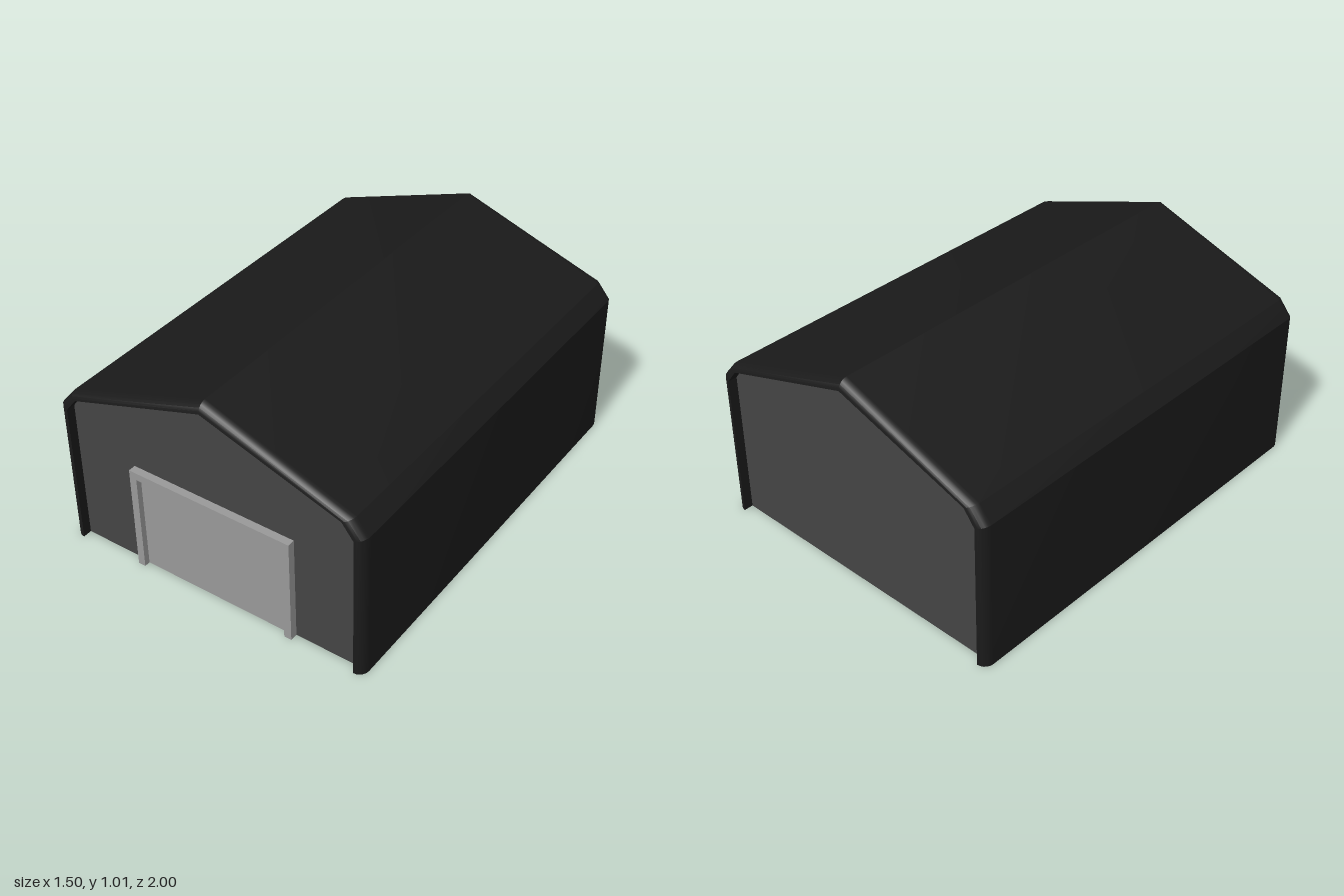
import * as THREE from 'three';
import { toCreasedNormals } from 'three/addons/utils/BufferGeometryUtils.js';

const mat = (color) => new THREE.MeshStandardMaterial({ color, side: THREE.DoubleSide });

// Half profiles of the hall, mirrored to run from +x foot over the ridge to -x foot
const mirror = (half) => [...half, ...half.slice(0, -1).reverse().map(([x, y]) => [-x, y])];
const OUTER = mirror([[0.75, 0], [0.75, 0.70], [0.69, 0.77], [0, 1.01]]);
const INNER = mirror([[0.705, 0], [0.705, 0.685], [0.652, 0.753], [0, 0.965]]);
const WALL_Z = 0.957, LIP = 0.045, DOOR_W = 0.4, DOOR_H = 0.505, FRAME = 0.035;

// Thin shell lofted along z, its ends rolled inward by a quarter round
function shellGeometry() {
  const end = [];
  for (let i = 0; i <= 5; i++) {
    const a = (i / 5) * Math.PI / 2;
    end.push([1 - LIP + LIP * Math.sin(a), 1 - Math.cos(a)]);
  }
  end.push([WALL_Z, 1]);
  const rings = [...end.map(([z, t]) => [-z, t]).reverse(), ...end];
  const n = OUTER.length, pos = [], idx = [];
  rings.forEach(([z, t]) => OUTER.forEach(([x, y], i) => {
    pos.push(x + (INNER[i][0] - x) * t, y + (INNER[i][1] - y) * t, z);
  }));
  for (let r = 0; r < rings.length - 1; r++) {
    for (let i = 0; i < n - 1; i++) {
      const a = r * n + i, b = a + n;
      idx.push(a, a + 1, b, a + 1, b + 1, b);
    }
  }
  const g = new THREE.BufferGeometry();
  g.setAttribute('position', new THREE.Float32BufferAttribute(pos, 3));
  g.setIndex(idx);
  return toCreasedNormals(g, 0.42);
}

const toShape = (pts) => new THREE.Shape(pts.map(([x, y]) => new THREE.Vector2(x, y)));

export function createModel() {
  const group = new THREE.Group();
  const add = (name, geometry, material, z = 0) => {
    const mesh = new THREE.Mesh(geometry, material);
    mesh.name = name;
    mesh.position.z = z;
    group.add(mesh);
    return mesh;
  };
  const dark = mat(0x1a1a1a), grey = mat(0x444444), light = mat(0x999999);

  add('roofAndSideWalls', shellGeometry(), dark);

  // Gable walls; the front one has a doorway cut from its foot
  const w = DOOR_W - 0.01, h = DOOR_H - 0.01;
  const doorway = [[-w, 0], [-w, h], [w, h], [w, 0]];
  add('frontWall', new THREE.ShapeGeometry(toShape([...INNER, ...doorway])), grey, WALL_Z);
  add('backWall', new THREE.ShapeGeometry(toShape(INNER)), grey, -WALL_Z).rotation.y = Math.PI;

  // Door frame passing through the wall
  const iw = DOOR_W - FRAME, ih = DOOR_H - FRAME;
  const frame = toShape([
    [DOOR_W, 0], [DOOR_W, DOOR_H], [-DOOR_W, DOOR_H], [-DOOR_W, 0],
    [-iw, 0], [-iw, ih], [iw, ih], [iw, 0],
  ]);
  add('doorFrame', new THREE.ExtrudeGeometry(frame, { depth: 0.07, bevelEnabled: false }), light, 0.922);

  // Door panel
  const panel = new THREE.BoxGeometry(iw * 2, ih, 0.02);
  panel.translate(0, ih / 2, 0);
  add('doorPanel', panel, light, 0.955);

  return group;
}
